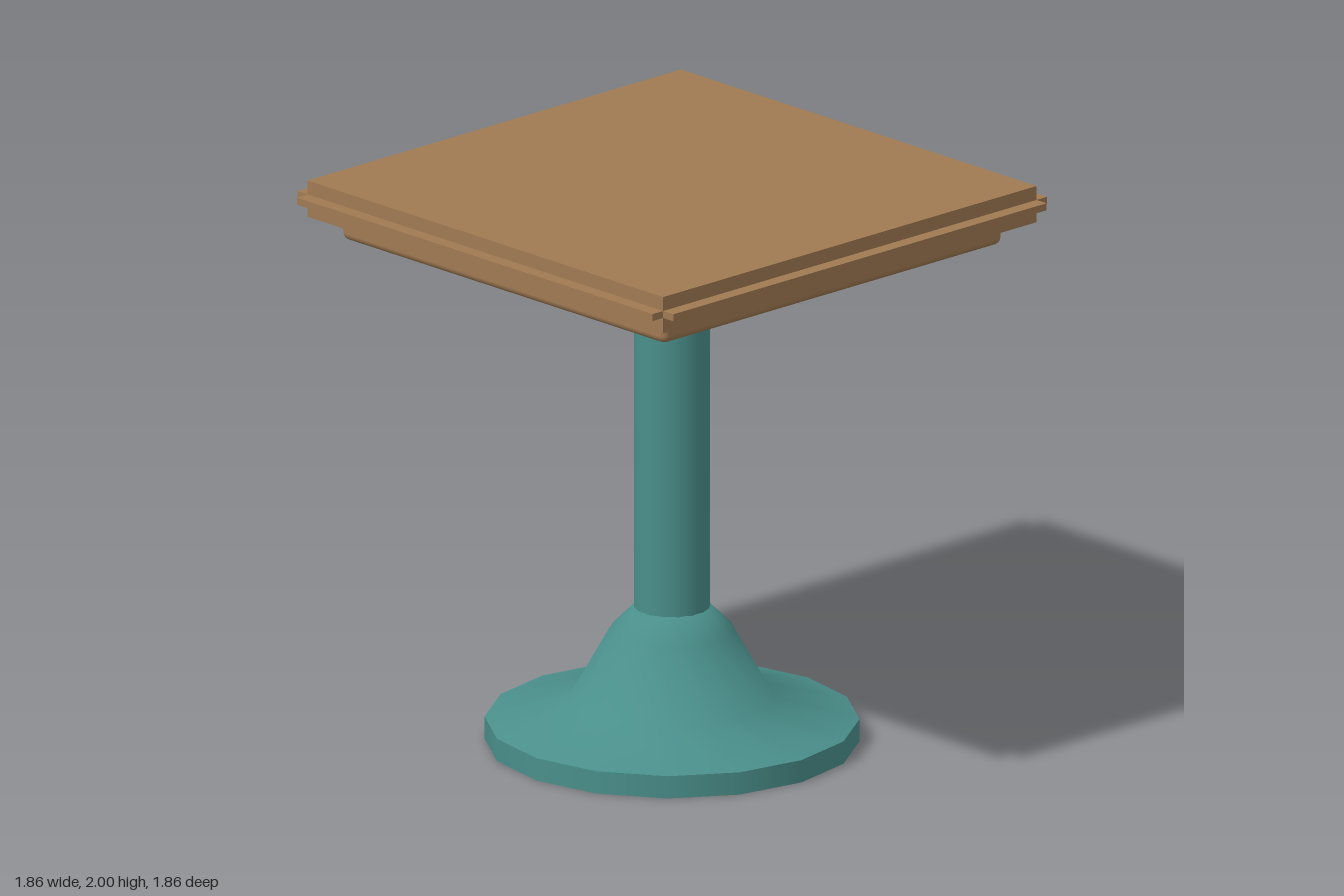
import * as THREE from 'three';
import { RoundedBoxGeometry } from 'three/addons/geometries/RoundedBoxGeometry.js';

export function createModel() {
  const model = new THREE.Group();
  model.name = 'pedestalTable';
  const wood = new THREE.MeshStandardMaterial({ color: 0xa07a52 });
  wood.name = 'wood';
  const teal = new THREE.MeshStandardMaterial({ color: 0x4a8f8b });
  teal.name = 'tealMetal';

  const add = (name, geometry, material, y, parent = model) => {
    const mesh = new THREE.Mesh(geometry, material);
    mesh.name = name;
    mesh.position.y = y;
    parent.add(mesh);
    return mesh;
  };

  // Foot: flat disc with a flared skirt rising to the column
  add('baseDisc', new THREE.CylinderGeometry(0.64, 0.64, 0.08, 16), teal, 0.04);
  const flare = [[0.64, 0.08], [0.35, 0.16], [0.215, 0.4], [0.13, 0.485], [0, 0.485]]
    .map(([r, y]) => new THREE.Vector2(r, y));
  add('baseFlare', new THREE.LatheGeometry(flare, 16), teal, 0);

  // Column and mounting plate
  add('column', new THREE.CylinderGeometry(0.13, 0.13, 1.32, 32), teal, 1.12);
  add('mountingPlate', new THREE.CylinderGeometry(0.26, 0.26, 0.025, 32), teal, 1.7775);

  // Top: board, inner core and rounded under-panel
  add('tableBoard', new THREE.BoxGeometry(1.76, 0.075, 1.76), wood, 1.9625);
  add('panelCore', new THREE.BoxGeometry(1.52, 0.07, 1.52), wood, 1.895);
  add('underPanel', new RoundedBoxGeometry(1.6, 0.08, 1.6, 2, 0.025), wood, 1.83);

  // Four sides: apron under the board's edge and a thin projecting lip
  for (let i = 0; i < 4; i++) {
    const side = new THREE.Group();
    side.name = 'edge' + (i + 1);
    side.rotation.y = i * Math.PI / 2;
    model.add(side);
    add('apron', new THREE.BoxGeometry(i % 2 ? 1.68 : 1.76, 0.055, 0.04), wood, 1.8975, side).position.z = 0.86;
    add('lip', new THREE.BoxGeometry(1.76, 0.025, 0.05), wood, 1.9375, side).position.z = 0.905;
  }
  return model;
}
